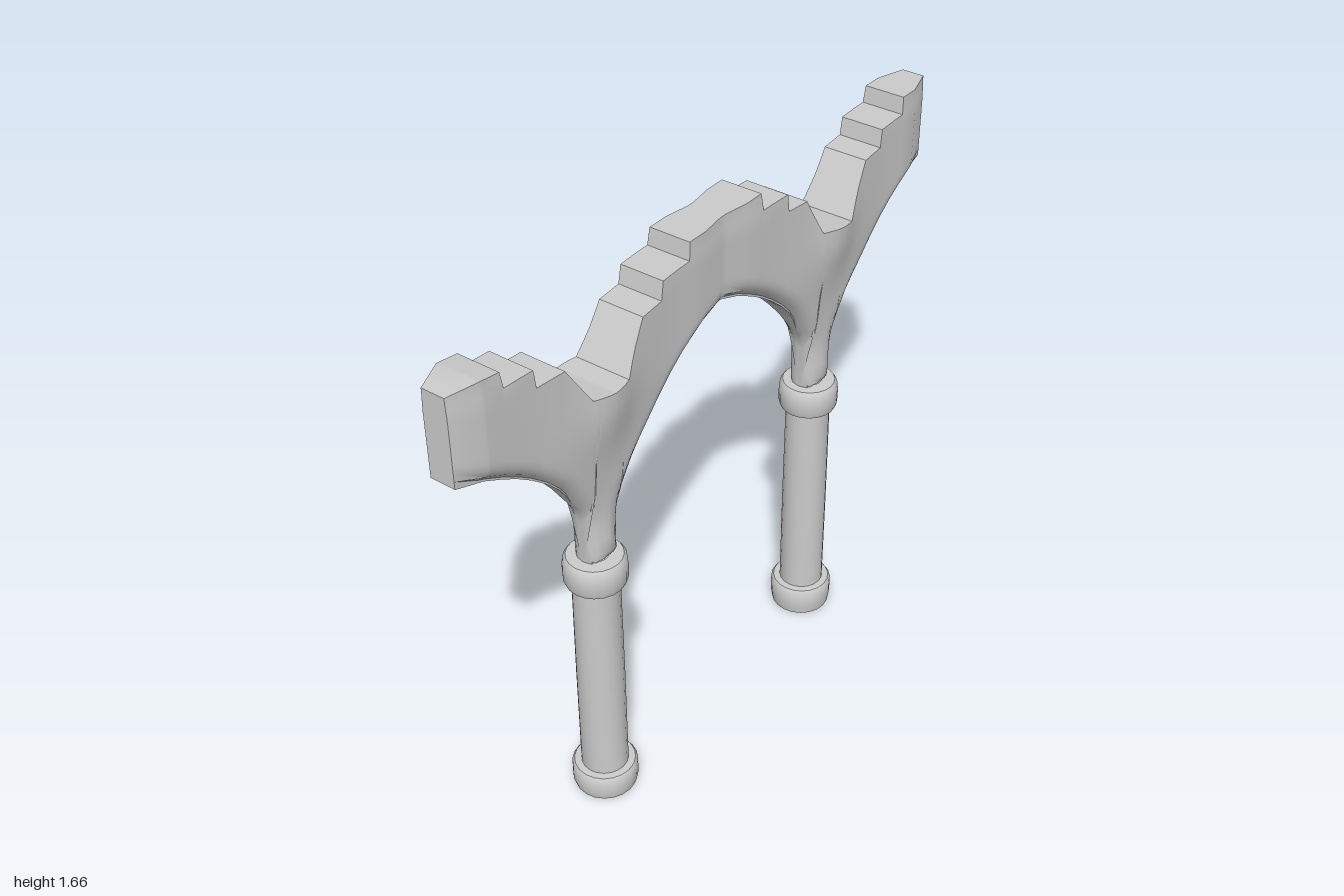
import * as THREE from 'three';
import { toCreasedNormals } from 'three/addons/utils/BufferGeometryUtils.js';

const PIER_X = 0.498;
const material = new THREE.MeshStandardMaterial({ color: 0xcccccc, side: THREE.DoubleSide });

// Underside of one half arch: [distance from pier axis, height]
const INTRADOS = [
  [0, 0.85], [0.053, 0.85], [0.056, 1.0], [0.063, 1.03], [0.078, 1.06], [0.1, 1.095], [0.13, 1.143],
  [0.16, 1.183], [0.2, 1.225], [0.25, 1.268], [0.3, 1.304], [0.35, 1.334], [0.41, 1.366], [0.51, 1.402],
];

// Stepped upper edge, left to right: [x, y]
const CREST = [
  [-1, 1.65], [-0.92, 1.66], [-0.853, 1.65], [-0.847, 1.605], [-0.75, 1.6], [-0.744, 1.548],
  [-0.65, 1.545], [-0.57, 1.42], [-0.5, 1.41], [-0.44, 1.412], [-0.36, 1.545], [-0.28, 1.548],
  [-0.27, 1.6], [-0.16, 1.602], [-0.154, 1.652], [0.152, 1.652], [0.158, 1.602], [0.266, 1.6],
  [0.272, 1.548], [0.35, 1.545], [0.42, 1.418], [0.555, 1.397], [0.64, 1.545], [0.722, 1.548],
  [0.73, 1.6], [0.84, 1.602], [0.846, 1.652], [1, 1.652],
];

// Piecewise linear lookup; a and b choose the input and output columns
function lookup(table, v, a = 0, b = 1) {
  if (v <= table[0][a]) return table[0][b];
  for (let i = 1; i < table.length; i++) {
    const p = table[i - 1], q = table[i];
    if (v <= q[a]) return p[b] + (q[b] - p[b]) * (v - p[a]) / (q[a] - p[a] || 1);
  }
  return table[table.length - 1][b];
}

const { clamp, smoothstep } = THREE.MathUtils;

// Half thickness of the arcade: round neck, swollen springing, softened underside
function halfThickness(dx, y, v) {
  const neckWidth = lookup(INTRADOS.slice(1), y, 1, 0);
  const d = Math.min(v, Math.max(neckWidth - dx, 0));
  const k = 1 - Math.min(d / 0.056, 1);
  const floor = clamp((dx - 0.05) * 5, 0.08, 0.55);
  const round = Math.max(floor, Math.sqrt(1 - k * k));
  const wall = 0.055 + 0.013 * smoothstep(y, 1.08, 1.35) - 0.005 * smoothstep(y, 1.58, 1.65);
  const swell = 0.026 * Math.exp(-((dx / 0.09) ** 2) - ((y - 1.39) / 0.13) ** 2);
  return (wall + swell) * round;
}

// Arcade wall: vertical cross-sections joined along x
function arcadeGeometry() {
  const stations = new Set(CREST.map((p) => p[0]));
  for (const pier of [-PIER_X, PIER_X])
    for (const s of [-1, 1])
      for (const extra of [...INTRADOS.map((p) => p[0]), 0.02, 0.037, 0.047])
        stations.add(clamp(+(pier + s * extra).toFixed(3), -1, 1));
  const xs = [...stations].sort((a, b) => a - b);

  const positions = [], index = [];
  const lowLevels = [0, 0.007, 0.022, 0.045], upper = 12;
  const n = 2 * (lowLevels.length + upper);
  for (const x of xs) {
    const dx = Math.abs(Math.abs(x) - PIER_X);
    const bottom = lookup(INTRADOS, dx), top = lookup(CREST, x);
    const rise = top - bottom;
    const levels = [...lowLevels];
    for (let i = 1; i <= upper; i++) levels.push(0.045 + (rise - 0.045) * i / upper);
    const shift = -0.008 * smoothstep(dx, 0.1, 0.3);
    const side = levels.map((v) => [bottom + v, halfThickness(dx, bottom + v, v)]);
    for (const [y, t] of side) positions.push(x, y, shift + t);
    for (const [y, t] of side.reverse()) positions.push(x, y, shift - t);
  }
  for (let i = 0; i < xs.length - 1; i++)
    for (let j = 0; j < n; j++) {
      const a = i * n + j, b = i * n + (j + 1) % n;
      index.push(a, a + n, b, b, a + n, b + n);
    }
  // End faces
  const last = (xs.length - 1) * n;
  for (let j = 0; j < n / 2 - 1; j++) {
    const a = j, b = j + 1, c = n - 2 - j, d = n - 1 - j;
    index.push(a, b, c, a, c, d);
    index.push(last + a, last + c, last + b, last + a, last + d, last + c);
  }
  const geometry = new THREE.BufferGeometry();
  geometry.setAttribute('position', new THREE.Float32BufferAttribute(positions, 3));
  geometry.setIndex(index);
  return toCreasedNormals(geometry, 0.75);
}

function turned(name, profile) {
  const points = profile.map(([r, y]) => new THREE.Vector2(r, y));
  const mesh = new THREE.Mesh(toCreasedNormals(new THREE.LatheGeometry(points, 20), 0.7), material);
  mesh.name = name;
  return mesh;
}

function column(name, x, foot) {
  const group = new THREE.Group();
  group.name = name;
  group.position.x = x;
  group.add(
    turned('columnBase', [[0, foot], [0.09, foot], [0.095, 0.03], [0.095, 0.082], [0.088, 0.092], [0.06, 0.094]]),
    turned('columnShaft', [[0.068, 0.08], [0.068, 0.43], [0.066, 0.78]]),
    turned('columnCapital', [[0.06, 0.77], [0.083, 0.772], [0.088, 0.785], [0.089, 0.82], [0.086, 0.85],
      [0.078, 0.861], [0.04, 0.863]]),
  );
  return group;
}

export function createModel() {
  const model = new THREE.Group();
  model.name = 'arcade';
  const wall = new THREE.Mesh(arcadeGeometry(), material);
  wall.name = 'archedWall';
  model.add(wall, column('rightColumn', -0.504, 0.012), column('leftColumn', PIER_X, 0));
  return model;
}
